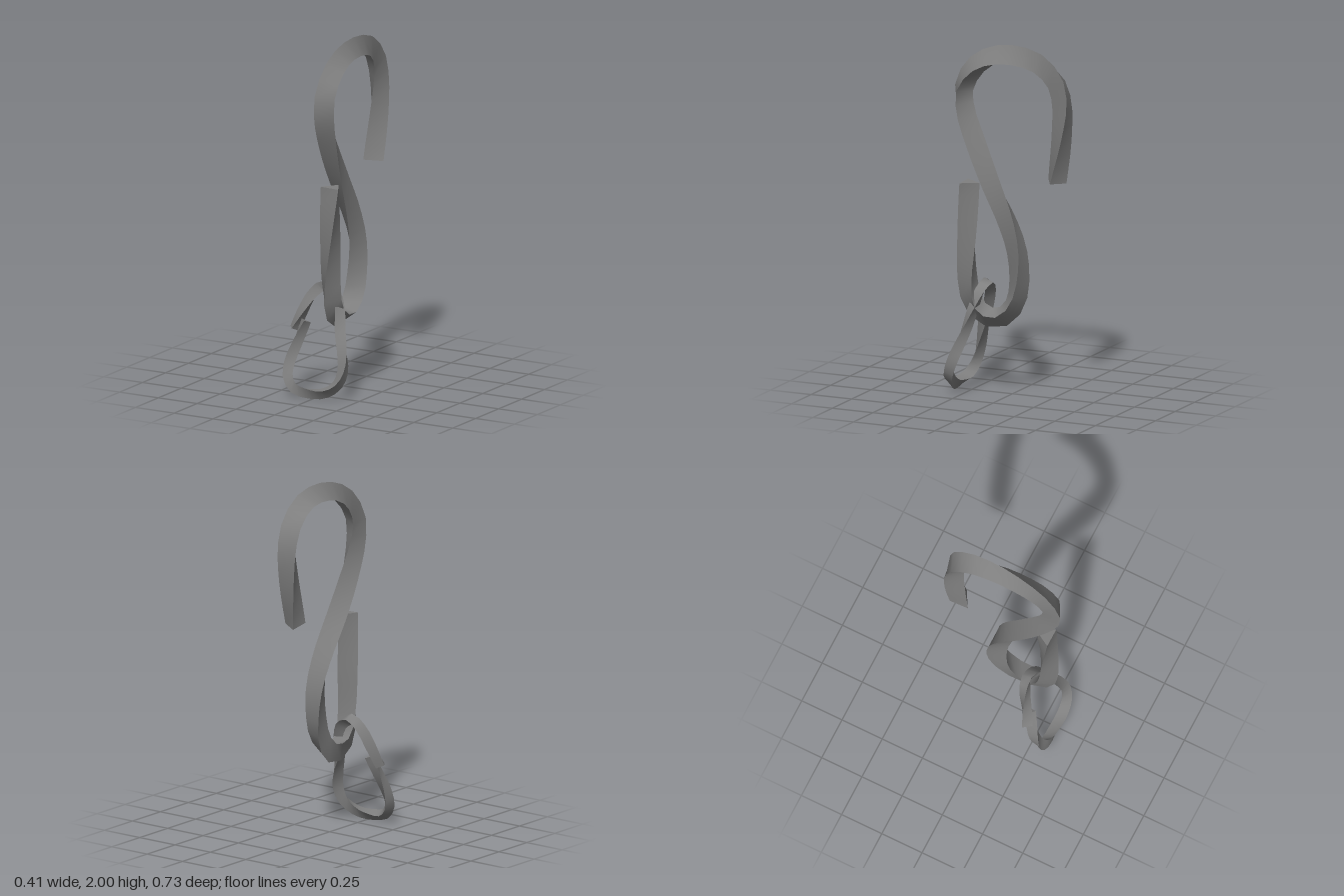
import * as THREE from 'three';

const rad = THREE.MathUtils.degToRad;

// Twisted three-sided bar swept along a curve lying close to the plane with normal B.
// rollStart and rollEnd are degrees, measured from the in-plane normal towards B.
function twistedBar(points, B, radius, rollStart, rollEnd, segments) {
  const curve = new THREE.CatmullRomCurve3(points.map(p => new THREE.Vector3(...p)));
  curve.arcLengthDivisions = 800;
  const rings = [];
  for (let i = 0; i <= segments; i++) {
    const t = i / segments;
    const centre = curve.getPointAt(t);
    const T = curve.getTangentAt(t);
    const N = new THREE.Vector3().crossVectors(T, B).normalize();
    const S = new THREE.Vector3().crossVectors(N, T).negate().normalize();
    if (S.dot(B) < 0) S.negate();
    const roll = rad(THREE.MathUtils.lerp(rollStart, rollEnd, t));
    rings.push([0, 1, 2].map(k => {
      const a = roll + k * Math.PI * 2 / 3;
      return centre.clone()
        .addScaledVector(N, Math.cos(a) * radius)
        .addScaledVector(S, Math.sin(a) * radius);
    }));
  }
  const pos = [], index = [];
  // Each side has its own vertices, so the three long edges stay sharp
  for (let k = 0; k < 3; k++) {
    const base = pos.length / 3;
    for (const ring of rings) pos.push(...ring[k].toArray(), ...ring[(k + 1) % 3].toArray());
    for (let i = 0; i < segments; i++) {
      const a = base + i * 2, b = a + 1, c = a + 2, d = a + 3;
      index.push(a, c, b, b, c, d);
    }
  }
  // End caps
  for (const [ring, order] of [[rings[0], [0, 1, 2]], [rings[segments], [0, 2, 1]]]) {
    const base = pos.length / 3;
    for (const k of order) pos.push(...ring[k].toArray());
    index.push(base, base + 1, base + 2);
  }
  const geometry = new THREE.BufferGeometry();
  geometry.setAttribute('position', new THREE.Float32BufferAttribute(pos, 3));
  geometry.setIndex(index);
  geometry.computeVertexNormals();
  return geometry;
}

export function createModel() {
  const group = new THREE.Group();
  const iron = new THREE.MeshStandardMaterial({ color: 0x7f7f7f });
  iron.name = 'grey iron';

  const add = (name, geometry) => {
    const mesh = new THREE.Mesh(geometry, iron);
    mesh.name = name;
    group.add(mesh);
  };

  // S-shaped hook, from the open upper end to the lower tail
  add('sHook', twistedBar([
    [0.03, 1.24, -0.275], [0.028, 1.5, -0.315], [0.027, 1.7, -0.325], [0.03, 1.82, -0.29],
    [0.038, 1.91, -0.19], [0.045, 1.937, -0.04], [0.047, 1.91, 0.11], [0.05, 1.84, 0.22],
    [0.05, 1.72, 0.29], [0.048, 1.6, 0.28], [0.042, 1.4, 0.2], [0.04, 1.2, 0.105],
    [0.042, 1.0, 0.005], [0.045, 0.83, -0.05], [0.045, 0.65, -0.057], [0.048, 0.51, -0.02],
    [0.05, 0.435, 0.07], [0.05, 0.45, 0.17], [0.05, 0.52, 0.225], [0.052, 0.65, 0.245],
    [0.058, 0.9, 0.24], [0.068, 1.2, 0.235],
  ], new THREE.Vector3(1, 0, 0), 0.065, 90, -240, 44));

  // Open ring hanging from the lower bend, leaning back
  const lean = 0.3;
  const outline = [
    [-0.115, 0.41], [-0.15, 0.29], [-0.172, 0.19], [-0.168, 0.11], [-0.12, 0.05],
    [-0.03, 0.035], [0.07, 0.045], [0.145, 0.095], [0.172, 0.175], [0.155, 0.27],
    [0.115, 0.38], [0.085, 0.49], [0.045, 0.58], [-0.02, 0.615], [-0.08, 0.565],
    [-0.13, 0.475], [-0.18, 0.36],
  ];
  add('hangingRing', twistedBar(
    outline.map(([x, y]) => [x, y, 0.345 - lean * y]),
    new THREE.Vector3(0, lean, 1).normalize(), 0.035, 110, -260, 40));

  return group;
}
